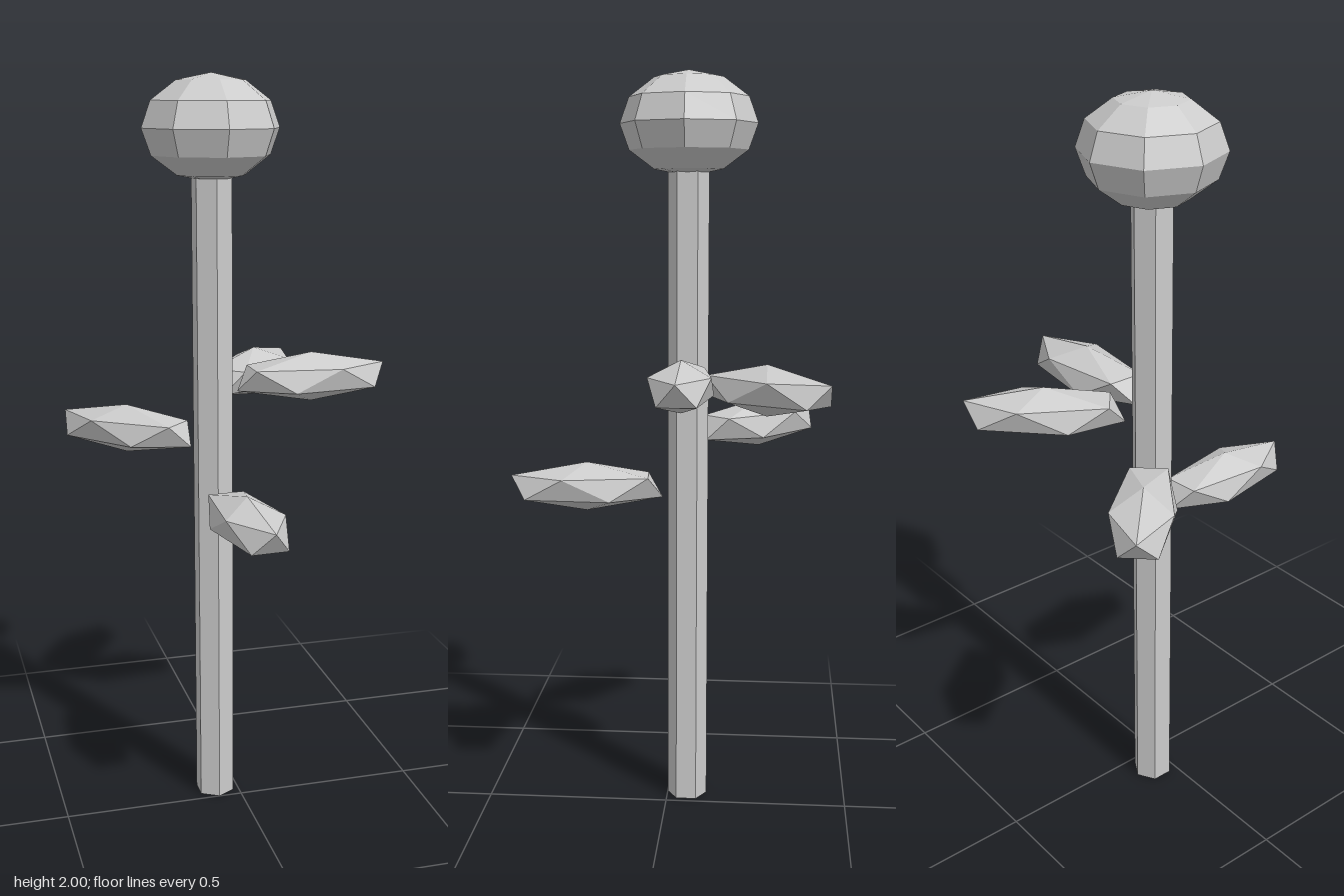
import * as THREE from 'three';

const material = new THREE.MeshStandardMaterial({ color: 0xcccccc, flatShading: true });

function addPart(parent, name, geometry) {
  const mesh = new THREE.Mesh(geometry, material);
  mesh.name = name;
  parent.add(mesh);
  return mesh;
}

export function createModel() {
  const model = new THREE.Group();
  model.name = 'flower';

  // Everything grows around the stem axis, which sits off centre
  const plant = new THREE.Group();
  plant.name = 'plant';
  plant.position.set(-0.064, 0, -0.055);
  model.add(plant);

  // Six-sided stem, ending inside the head
  const stem = addPart(plant, 'stem', new THREE.CylinderGeometry(0.055, 0.055, 1.8, 6));
  stem.position.y = 0.9;

  // Flattened ball on top
  const head = addPart(plant, 'head', new THREE.SphereGeometry(0.183, 8, 6));
  head.scale.y = 0.745;
  head.position.y = 1.864;

  // Leaf: icosahedron stood on a corner, with its upper tip facing +z, then stretched
  const leafGeometry = new THREE.IcosahedronGeometry(1, 0)
    .rotateX(-Math.atan((1 + Math.sqrt(5)) / 2))
    .scale(0.094, 0.0675, 0.233)
    .translate(0, 0, 0.277);

  // Leaf heights and headings (degrees from +z towards +x)
  const leaves = [
    ['frontLeaf', 0.892, 4.1],
    ['backRightLeaf', 1.043, -133.5],
    ['backLeftLeaf', 1.182, 141],
    ['leftLeaf', 1.203, 90],
  ];
  for (const [name, y, heading] of leaves) {
    const leaf = addPart(plant, name, leafGeometry);
    leaf.position.y = y;
    leaf.rotation.y = THREE.MathUtils.degToRad(heading);
  }

  return model;
}
